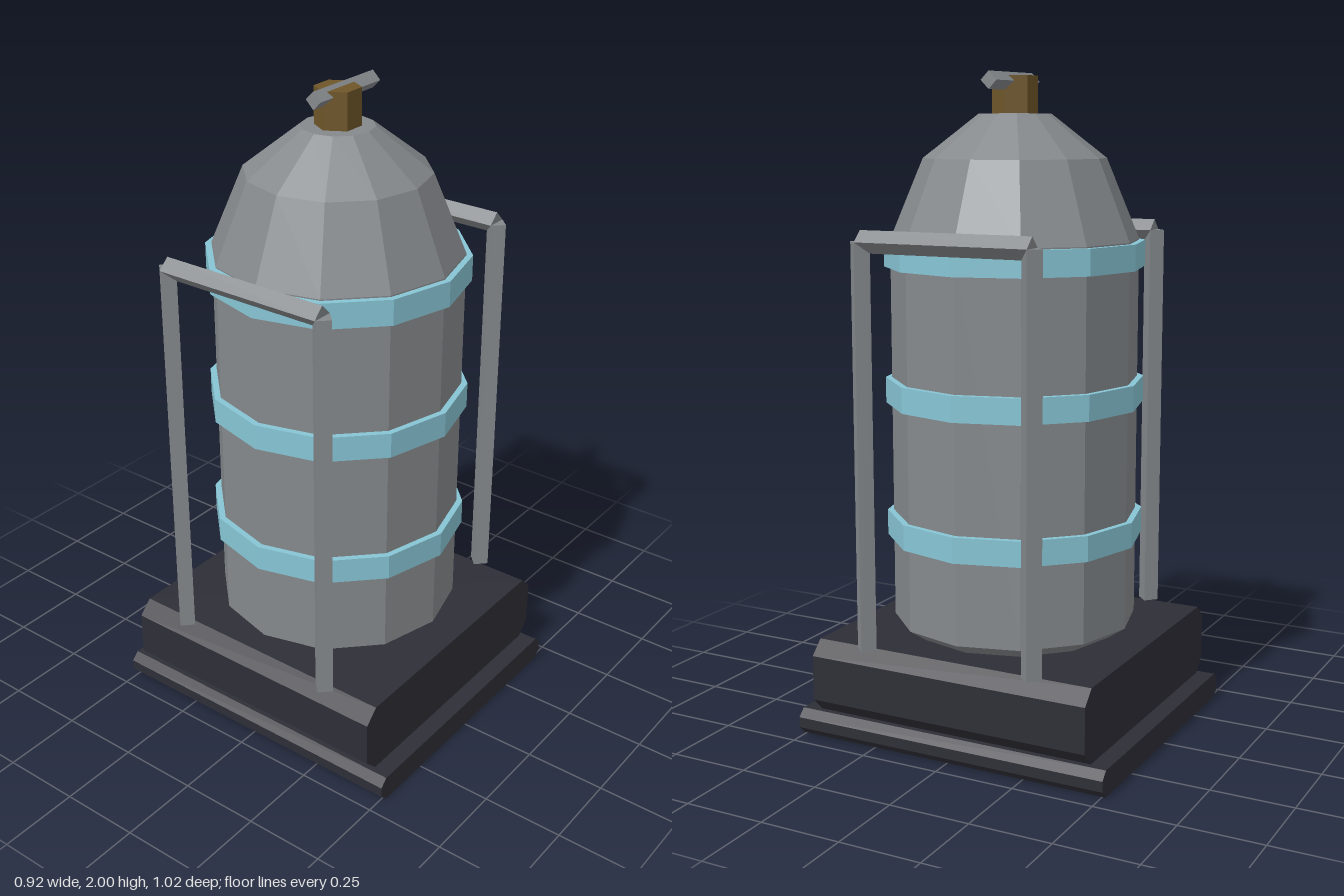
import * as THREE from 'three';

const mat = (name, color) => {
  const m = new THREE.MeshStandardMaterial({ color, flatShading: true });
  m.name = name;
  return m;
};

export function createModel() {
  const steel = mat('steel grey', 0x85898c);
  const blue = mat('pale blue', 0x87c5d5);
  const dark = mat('charcoal', 0x2e2e37);
  const brass = mat('dull brass', 0x6e5629);

  const model = new THREE.Group();
  model.name = 'gasTank';
  const add = (name, geometry, material, x = 0, y = 0, z = 0, parent = model) => {
    const mesh = new THREE.Mesh(geometry, material);
    mesh.name = name;
    mesh.position.set(x, y, z);
    parent.add(mesh);
    return mesh;
  };

  // Base slabs: chamfered section in x/y, extruded along z
  const slab = (name, w, y0, y1, halfDepth, c) => {
    const shape = new THREE.Shape([
      [-w + c, y0], [w - c, y0], [w, y0 + c], [w, y1 - c],
      [w - c, y1], [-w + c, y1], [-w, y1 - c], [-w, y0 + c],
    ].map(([x, y]) => new THREE.Vector2(x, y)));
    const g = new THREE.ExtrudeGeometry(shape, { depth: halfDepth * 2, bevelEnabled: false });
    add(name, g.translate(0, 0, -halfDepth), dark);
  };
  slab('basePlate', 0.455, 0, 0.08, 0.51, 0.024);
  slab('baseBlock', 0.455, 0.08, 0.305, 0.455, 0.043);

  // Twelve-sided tank body with faceted shoulder
  const profile = [[0, 0.305], [0.32, 0.305], [0.375, 0.342], [0.375, 1.51],
    [0.275, 1.75], [0.108, 1.88], [0, 1.88]];
  add('tank', new THREE.LatheGeometry(profile.map(([r, y]) => new THREE.Vector2(r, y)), 12), steel);

  // Bands around the tank
  for (const y of [0.637, 1.052, 1.467]) {
    add('band', new THREE.CylinderGeometry(0.394, 0.394, 0.078, 12), blue, 0, y);
  }

  // Hexagonal valve with a diamond-section lever
  add('valve', new THREE.CylinderGeometry(0.068, 0.068, 0.11, 6).rotateY(Math.PI / 6), brass, 0, 1.935);
  add('valveLever', new THREE.CylinderGeometry(0.026, 0.026, 0.275, 4).rotateZ(Math.PI / 2), steel, 0.027, 1.974);

  // Guard rails on both sides
  const r = 0.033, railY = 1.52, postZ = 0.275;
  for (const side of [-1, 1]) {
    const guard = new THREE.Group();
    guard.name = side > 0 ? 'leftGuard' : 'rightGuard';
    guard.position.x = side * 0.428;
    model.add(guard);
    for (const z of [-postZ, postZ]) {
      const h = railY - 0.305;
      add('guardPost', new THREE.CylinderGeometry(r, r, h, 4), steel, 0, 0.305 + h / 2, z, guard);
    }
    add('guardRail', new THREE.CylinderGeometry(r, r, postZ * 2, 4).rotateX(Math.PI / 2), steel, 0, railY, 0, guard);
  }
  return model;
}
